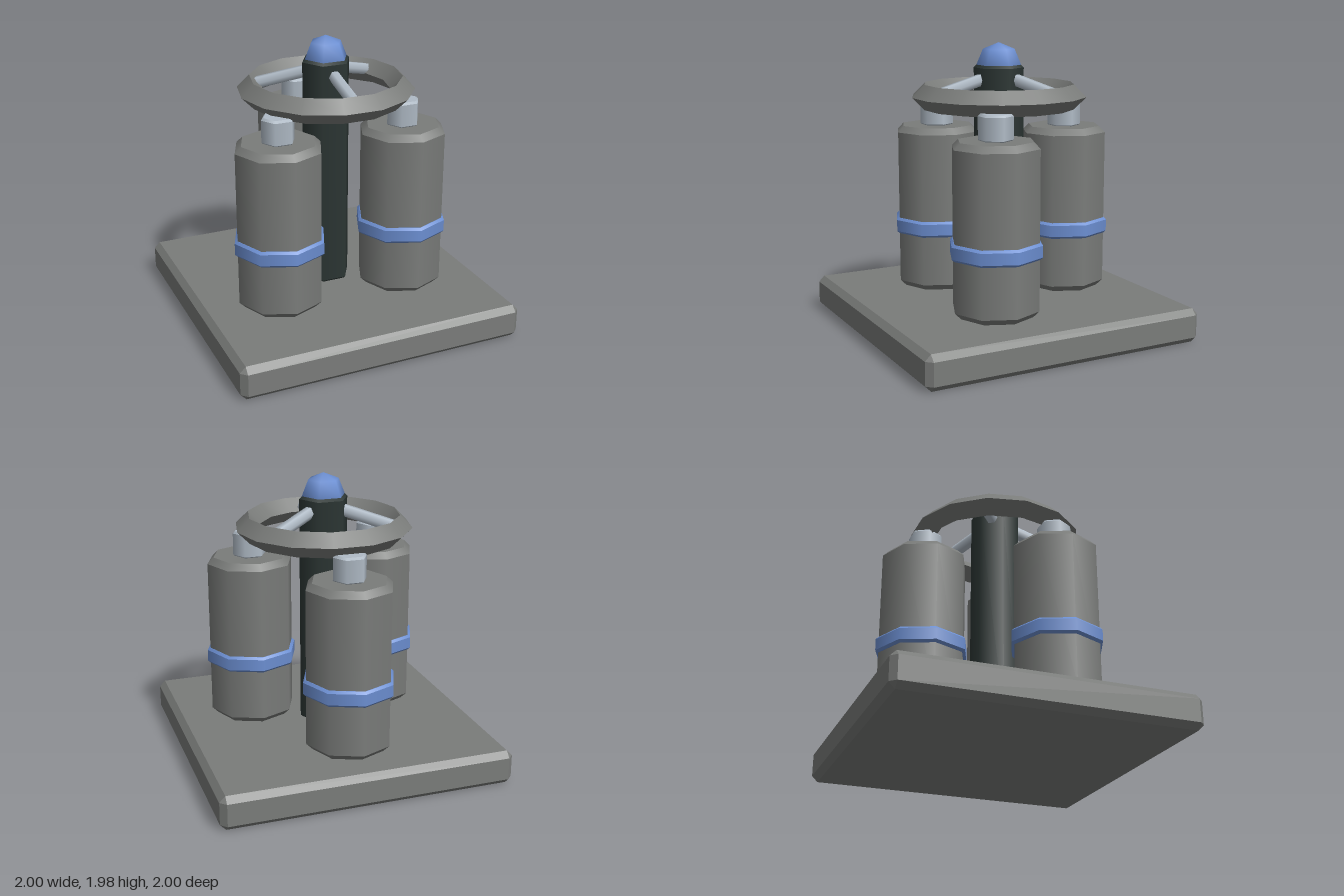
import * as THREE from 'three';
import { mergeGeometries } from 'three/addons/utils/BufferGeometryUtils.js';
import { ConvexGeometry } from 'three/addons/geometries/ConvexGeometry.js';

const paint = (name, color) => {
  const m = new THREE.MeshStandardMaterial({ color });
  m.name = name;
  return m;
};

// Turned solid: smooth around the axis, sharp between profile segments.
function turned(profile, sides) {
  const pts = profile.map(([r, y]) => new THREE.Vector2(r, y));
  return mergeGeometries(pts.slice(1).map((p, i) =>
    new THREE.LatheGeometry([pts[i], p], sides, Math.PI / 2)));
}

// Prism from y0 to y1 with chamfered rims of size c.
const chamferedPrism = (r, y0, y1, c, sides) => turned(
  [[0, y0], [r - c, y0], [r, y0 + c], [r, y1 - c], [r - c, y1], [0, y1]], sides);

// Box with every edge chamfered by c.
function chamferedBox(w, h, d, c) {
  const points = [];
  for (const x of [-1, 1]) for (const y of [-1, 1]) for (const z of [-1, 1]) {
    for (let axis = 0; axis < 3; axis++) {
      const p = [w / 2 - c, h / 2 - c, d / 2 - c];
      p[axis] += c;
      points.push(new THREE.Vector3(x * p[0], y * p[1], z * p[2]));
    }
  }
  return new ConvexGeometry(points);
}

export function createModel() {
  const grey = paint('grey metal', 0x7a7c7a);
  const dark = paint('dark metal', 0x2c3634);
  const blue = paint('blue paint', 0x6c8fd2);
  const silver = paint('silver metal', 0xb0bbc6);

  const model = new THREE.Group();
  model.name = 'valveStand';
  const add = (parent, name, geometry, material) => {
    const mesh = new THREE.Mesh(geometry, material);
    mesh.name = name;
    parent.add(mesh);
    return mesh;
  };

  // Base slab
  add(model, 'base', chamferedBox(2, 0.234, 2, 0.04), grey).position.y = 0.117;

  // Central column with domed cap
  add(model, 'column', chamferedPrism(0.17, 0.23, 1.83, 0.018, 6), dark);
  const cap = new THREE.SphereGeometry(0.152, 6, 2, 0, Math.PI * 2, 0, Math.PI / 2);
  add(model, 'columnCap', cap, blue).position.y = 1.83;

  // Three tanks around the column, each with a band and a nozzle
  const body = chamferedPrism(0.298, 0.234, 1.388, 0.043, 8);
  const band = chamferedPrism(0.318, 0.624, 0.735, 0.016, 8);
  const nozzle = chamferedPrism(0.115, 1.38, 1.56, 0.015, 6);
  for (let i = 0; i < 3; i++) {
    const angle = Math.PI + i * Math.PI * 2 / 3;
    const tank = new THREE.Group();
    tank.name = 'tank';
    tank.position.set(0.52 * Math.sin(angle), 0, 0.52 * Math.cos(angle));
    add(tank, 'tankBody', body, grey);
    add(tank, 'tankBand', band, blue);
    add(tank, 'tankNozzle', nozzle, silver);
    model.add(tank);
  }

  // Hand wheel rim with a diamond cross-section
  const rim = turned([[0.43, 0], [0.515, -0.085], [0.6, 0], [0.515, 0.085], [0.43, 0]], 14);
  add(model, 'wheelRim', rim, grey).position.y = 1.62;

  // Spokes sloping down from the column to the rim
  const spoke = chamferedPrism(0.043, 0, 0.51, 0.012, 6);
  for (let i = 0; i < 3; i++) {
    const arm = new THREE.Group();
    arm.name = 'wheelSpoke';
    arm.position.y = 1.772;
    arm.rotation.y = i * Math.PI * 2 / 3;
    add(arm, 'spokeBar', spoke, silver).rotation.x = Math.PI / 2 + 0.275;
    model.add(arm);
  }

  return model;
}
